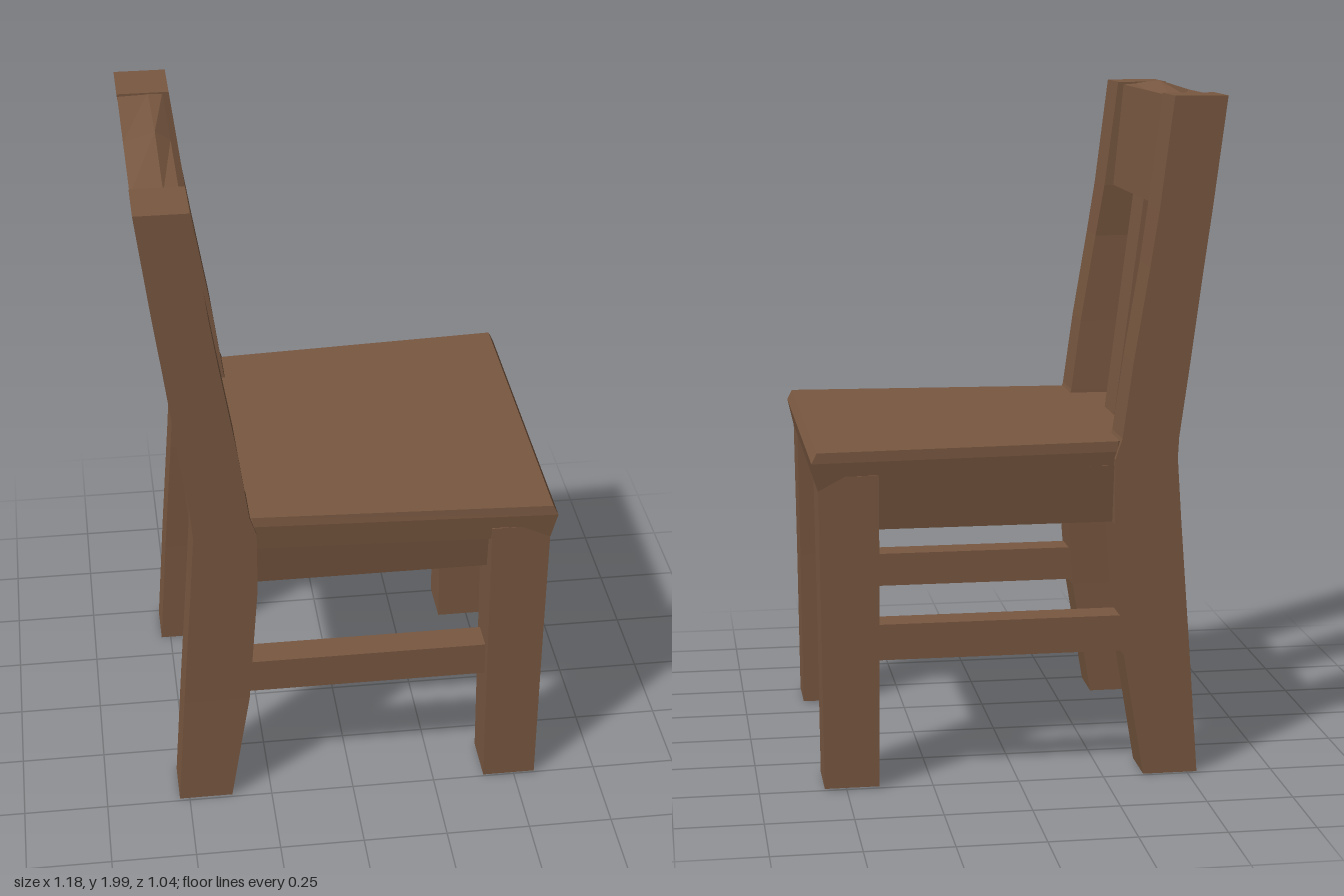
import * as THREE from 'three';

// Skin a stack of matching convex rings and cap both ends, facing outward.
function loft(rings) {
  const n = rings[0].length, tris = [];
  for (let r = 0; r < rings.length - 1; r++) {
    for (let i = 0; i < n; i++) {
      const j = (i + 1) % n, a = rings[r], b = rings[r + 1];
      tris.push([a[i], a[j], b[j]], [a[i], b[j], b[i]]);
    }
  }
  const first = rings[0], last = rings[rings.length - 1];
  for (let i = 1; i < n - 1; i++) {
    tris.push([first[0], first[i + 1], first[i]], [last[0], last[i], last[i + 1]]);
  }
  const v = (p) => new THREE.Vector3(...p);
  const volume = tris.reduce((s, [a, b, c]) => s + v(a).dot(v(b).cross(v(c))), 0);
  if (volume < 0) tris.forEach((t) => t.reverse());
  const geometry = new THREE.BufferGeometry();
  geometry.setAttribute('position', new THREE.Float32BufferAttribute(tris.flat(2), 3));
  geometry.computeVertexNormals();
  return geometry;
}

// Horizontal rectangle at height y.
const rect = (y, x0, x1, z0, z1) => [[x0, y, z0], [x1, y, z0], [x1, y, z1], [x0, y, z1]];
// Post or board through levels of [y, x0, x1, z0, z1].
const post = (levels) => loft(levels.map((l) => rect(...l)));

export function createModel() {
  const model = new THREE.Group();
  model.name = 'chair';
  const wood = new THREE.MeshStandardMaterial({ color: 0x795841, flatShading: true });
  wood.name = 'brown wood';

  const add = (name, geometry) => {
    const mesh = new THREE.Mesh(geometry, wood);
    mesh.name = name;
    model.add(mesh);
  };

  for (const [side, s] of [['left', -1], ['right', 1]]) {
    // Bent rear legs running up into the back posts
    add(side + 'BackLeg', post([
      [0.01, -0.53, -0.37, 0.345 * s, 0.49 * s],
      [0.37, -0.505, -0.31, 0.345 * s, 0.485 * s],
      [0.76, -0.475, -0.28, 0.335 * s, 0.485 * s],
      [0.95, -0.462, -0.28, 0.335 * s, 0.485 * s],
      [1.01, -0.465, -0.3, 0.335 * s, 0.485 * s],
      [1.23, -0.495, -0.33, 0.34 * s, 0.485 * s],
      [1.5, -0.53, -0.375, 0.338 * s, 0.485 * s],
      [1.66, -0.552, -0.4, 0.325 * s, 0.485 * s],
      [1.98, -0.592, -0.44, 0.32 * s, 0.487 * s],
    ]));
    add(side + 'FrontLeg', post([
      [0.015, 0.405, 0.563, 0.348 * s, 0.5 * s],
      [0.5, 0.402, 0.567, 0.345 * s, 0.505 * s],
      [0.93, 0.4, 0.572, 0.335 * s, 0.51 * s],
    ]));
    // Side apron and stretcher between the legs
    add(side + 'Apron', post([
      [0.76, -0.32, 0.42, 0.36 * s, 0.445 * s],
      [0.93, -0.32, 0.42, 0.36 * s, 0.47 * s],
    ]));
    add(side + 'Stretcher', post([
      [0.38, -0.35, 0.42, 0.375 * s, 0.465 * s],
      [0.485, -0.35, 0.42, 0.375 * s, 0.465 * s],
    ]));
  }

  // Seat widening toward the front, with a slightly bulging edge
  const seatRing = (y, front, k) => [
    [-0.455, y, -0.4], [-0.29, y, -0.47 * k], [front, y, -0.52 * k],
    [front, y, 0.52 * k], [-0.29, y, 0.475 * k], [-0.455, y, 0.4],
  ];
  add('seat', loft([
    seatRing(0.89, 0.572, 0.98), seatRing(0.97, 0.59, 1), seatRing(1, 0.575, 0.995),
  ]));

  // Aprons under the front and back of the seat
  add('frontApron', post([[0.76, 0.44, 0.53, -0.36, 0.36], [0.93, 0.44, 0.54, -0.36, 0.36]]));
  add('backApron', post([[0.76, -0.45, -0.36, -0.36, 0.36], [0.99, -0.452, -0.35, -0.36, 0.36]]));

  // Backrest slat
  add('backSlat', post([
    [0.97, -0.435, -0.355, -0.068, 0.082],
    [1.68, -0.525, -0.445, -0.072, 0.085],
  ]));

  // Top rail with a low peak in the middle
  const railRing = (z, peak) => [
    [-0.55, 1.66, z], [-0.428, 1.66, z], [-0.457, 1.972, z],
    [-0.5, peak, z], [-0.59, 1.972, z],
  ];
  add('topRail', loft([railRing(-0.34, 1.975), railRing(0, 2), railRing(0.34, 1.975)]));

  return model;
}
